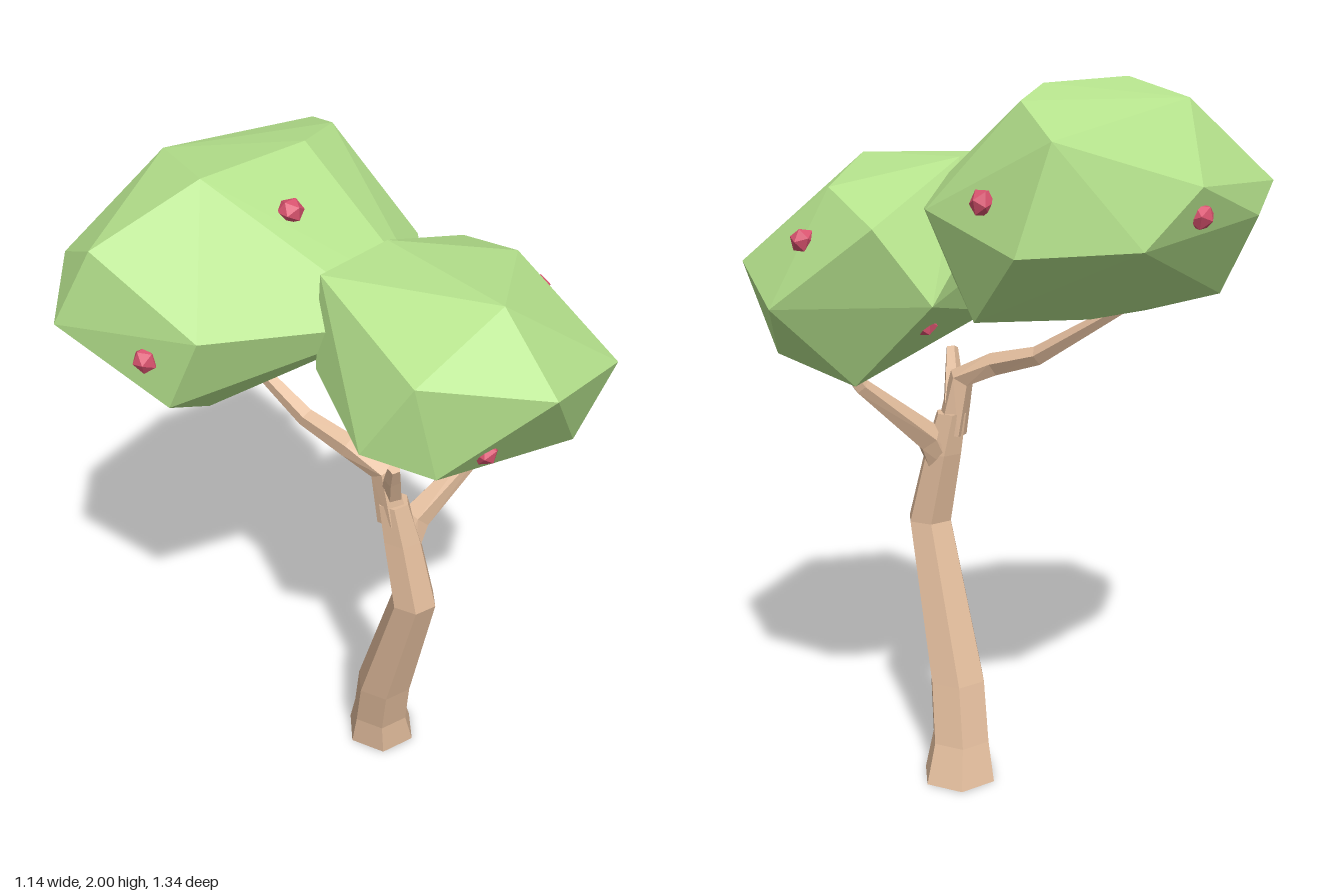
import * as THREE from 'three';
import { ConvexGeometry } from 'three/addons/geometries/ConvexGeometry.js';

const mat = (name, color) => {
  const m = new THREE.MeshStandardMaterial({ color, flatShading: true });
  m.name = name;
  return m;
};

// Faceted limb lofted through [x, y, z, radius] stations, closed at both ends
function limb(stations, sides, level = false) {
  const centres = stations.map(([x, y, z]) => new THREE.Vector3(x, y, z));
  const pos = [], index = [], last = stations.length - 1;
  const ref = new THREE.Vector3(1, 0, 0);
  centres.forEach((c, i) => {
    const t = level
      ? new THREE.Vector3(0, 1, 0)
      : centres[Math.min(i + 1, last)].clone().sub(centres[Math.max(i - 1, 0)]).normalize();
    const u = ref.clone().cross(t).normalize();
    const v = t.clone().cross(u);
    for (let j = 0; j < sides; j++) {
      const a = (j / sides) * Math.PI * 2 + Math.PI / 12;
      const p = c.clone().addScaledVector(u, Math.cos(a) * stations[i][3])
        .addScaledVector(v, Math.sin(a) * stations[i][3]);
      pos.push(p.x, p.y, p.z);
    }
  });
  for (let i = 0; i < last; i++) {
    for (let j = 0; j < sides; j++) {
      const k = (j + 1) % sides, a = i * sides, b = a + sides;
      index.push(a + j, a + k, b + j, a + k, b + k, b + j);
    }
  }
  for (let j = 1; j < sides - 1; j++) {
    const e = last * sides;
    index.push(0, j + 1, j, e, e + j, e + j + 1);
  }
  const g = new THREE.BufferGeometry();
  g.setAttribute('position', new THREE.Float32BufferAttribute(pos, 3));
  g.setIndex(index);
  const flat = g.toNonIndexed();
  flat.computeVertexNormals();
  return flat;
}

// Faceted clump of leaves around its corner points
const clump = (points) => new ConvexGeometry(points.map((p) => new THREE.Vector3(...p)));

export function createModel() {
  const tree = new THREE.Group();
  tree.name = 'tree';
  const bark = mat('bark', 0xe0bb9b);
  const leaf = mat('leaf', 0xb6e38d);
  const fruit = mat('fruit', 0xd9536f);
  const add = (name, geometry, material) => {
    const mesh = new THREE.Mesh(geometry, material);
    mesh.name = name;
    tree.add(mesh);
    return mesh;
  };

  // Leaning trunk with flared foot
  add('trunk', limb([
    [0.16, 0, 0.045, 0.112], [0.138, 0.11, 0.058, 0.09], [0.11, 0.28, 0.095, 0.087],
    [0.063, 0.73, 0.238, 0.068], [0.056, 0.94, 0.19, 0.058], [0.045, 1.06, 0.165, 0.046],
  ], 6, true), bark);

  // Branches
  add('backBranch', limb([
    [0.045, 1.0, 0.168, 0.046], [0.03, 1.16, 0.14, 0.038], [0.0, 1.21, 0.04, 0.034],
    [-0.02, 1.25, -0.1, 0.028], [-0.05, 1.41, -0.36, 0.016],
  ], 5), bark);
  add('sideBranch', limb([
    [0.055, 0.9, 0.195, 0.048], [0.105, 0.99, 0.2, 0.043],
    [0.3, 1.165, 0.27, 0.024], [0.35, 1.25, 0.3, 0.018],
  ], 5), bark);
  add('shortBranch', limb([
    [0.04, 1.08, 0.165, 0.03], [0.005, 1.17, 0.195, 0.025], [-0.02, 1.23, 0.22, 0.018],
  ], 5), bark);

  // Upper clump at the back
  add('backFoliage', clump([
    [-0.57, 1.645, -0.44], [-0.51, 1.857, -0.345], [-0.25, 1.995, -0.22], [0.1, 1.985, -0.205],
    [0.295, 1.95, -0.29], [0.43, 1.87, -0.49], [0.52, 1.61, -0.455], [0.37, 1.68, -0.045],
    [-0.45, 1.69, -0.045], [-0.4, 1.73, -0.59], [-0.28, 1.65, -0.62], [0.05, 1.75, -0.656],
    [0.24, 1.61, -0.62], [-0.12, 1.95, -0.5], [-0.47, 1.48, -0.14], [-0.3, 1.386, -0.18],
    [-0.17, 1.385, -0.35], [-0.3, 1.43, -0.5], [0.1, 1.4, -0.36], [0.4, 1.42, -0.23],
    [0.22, 1.45, -0.1], [0, 1.65, 0.2], [0.13, 1.66, 0.2],
  ]), leaf);

  // Lower clump at the front
  add('frontFoliage', clump([
    [-0.275, 1.455, 0.32], [-0.22, 1.665, 0.44], [0.035, 1.61, 0.67], [0.44, 1.5, 0.58],
    [0.57, 1.41, 0.33], [0.51, 1.64, 0.005], [0.43, 1.45, -0.12], [-0.16, 1.39, 0.47],
    [0.065, 1.78, 0.475], [0.41, 1.72, 0.26], [0.43, 1.205, 0.16], [0.395, 1.243, 0.5],
    [0.11, 1.235, 0.35], [-0.13, 1.79, 0.06], [0.12, 1.79, 0.06], [-0.17, 1.55, 0.08],
    [0, 1.36, 0.06],
  ]), leaf);

  // Small fruits sitting on the leaves
  [
    [-0.08, 1.895, -0.085], [-0.49, 1.61, -0.19], [0.437, 1.72, -0.29], [0.487, 1.587, 0.28],
    [-0.035, 1.435, 0.52], [0.025, 1.675, -0.637], [0.32, 1.375, 0.01],
  ].forEach(([x, y, z], i) => {
    const f = add('fruit' + (i + 1), new THREE.IcosahedronGeometry(0.036, 0), fruit);
    f.position.set(x, y, z);
    f.rotation.set(i * 0.9, i * 1.7, i * 0.5);
    f.scale.y = 0.9;
  });

  return tree;
}
